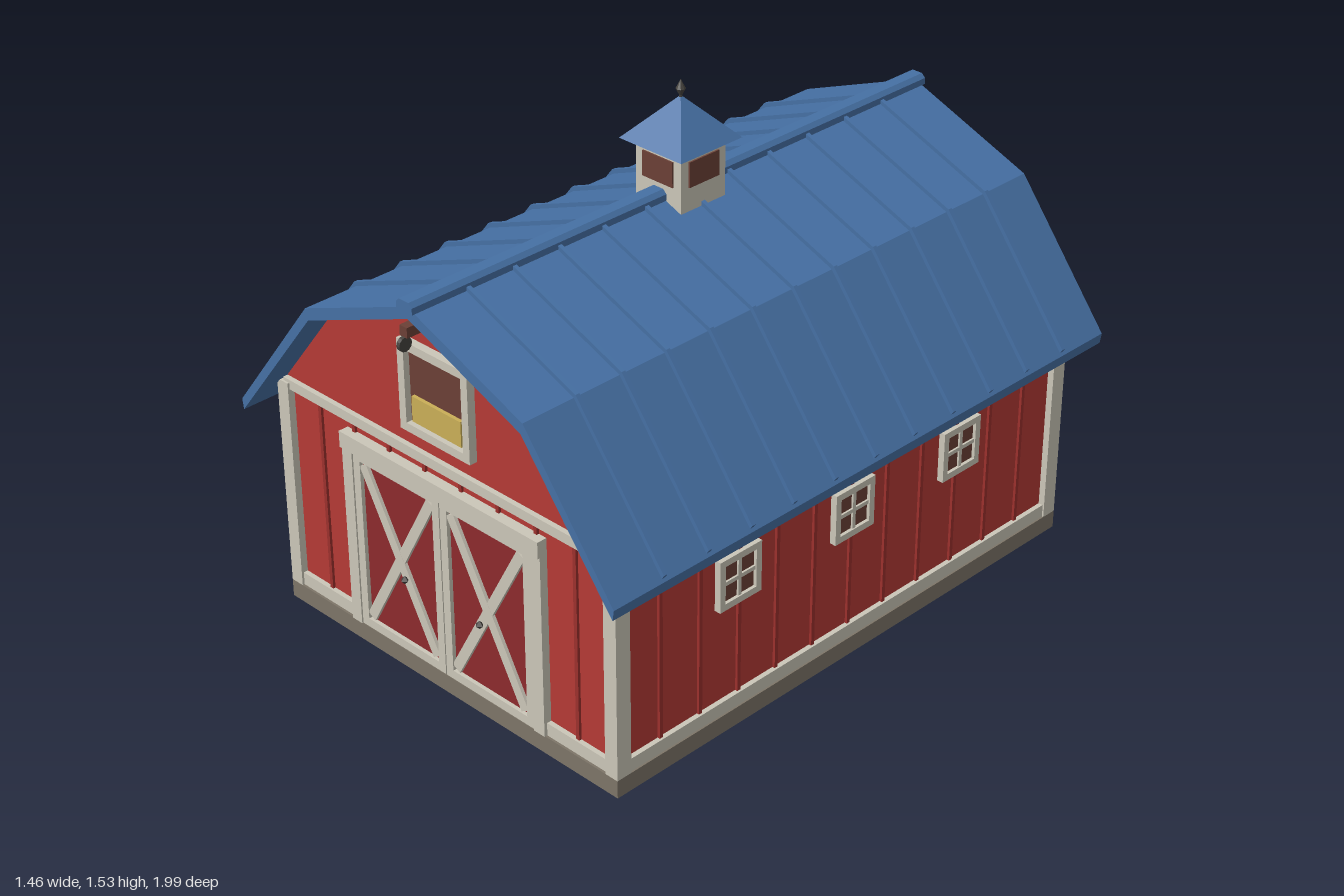
import * as THREE from 'three';

const mat = (name, color) => {
  const m = new THREE.MeshStandardMaterial({ color, flatShading: true });
  m.name = name;
  return m;
};

export function createModel() {
  const red = mat('barn red', 0xb43a35);
  const battenRed = mat('batten red', 0x9c302d);
  const darkRed = mat('door red', 0x8c2a2d);
  const cream = mat('cream trim', 0xcbc6b8);
  const blue = mat('blue metal', 0x4670a4);
  const stone = mat('stone', 0x7d7568);
  const brown = mat('dark brown', 0x6b4036);
  const hay = mat('hay', 0xc9ae57);
  const iron = mat('iron', 0x45423e);

  const root = new THREE.Group();
  root.name = 'barn';
  const barn = new THREE.Group();
  barn.name = 'building';
  barn.position.z = -0.01;
  root.add(barn);

  const add = (name, geo, material, parent = barn) => {
    const m = new THREE.Mesh(geo, material);
    m.name = name;
    parent.add(m);
    return m;
  };
  // Box given by its extents along each axis
  const box = (name, material, x0, x1, y0, y1, z0, z1, parent = barn) => {
    const m = add(name, new THREE.BoxGeometry(x1 - x0, y1 - y0, z1 - z0), material, parent);
    m.position.set((x0 + x1) / 2, (y0 + y1) / 2, (z0 + z1) / 2);
    return m;
  };
  // Profile in x,y extruded symmetrically about a z position
  const slab = (name, pts, depth, z, material) => {
    const shape = new THREE.Shape(pts.map(p => new THREE.Vector2(p[0], p[1])));
    const geo = new THREE.ExtrudeGeometry(shape, { depth, bevelEnabled: false });
    geo.translate(0, 0, z - depth / 2);
    return add(name, geo, material);
  };
  // Four-sided frame lying in the x,y plane of its parent
  const frame = (name, x0, x1, y0, y1, w, z0, z1, parent = barn) => {
    box(name, cream, x0, x0 + w, y0, y1, z0, z1, parent);
    box(name, cream, x1 - w, x1, y0, y1, z0, z1, parent);
    box(name, cream, x0 + w, x1 - w, y0, y0 + w, z0, z1, parent);
    box(name, cream, x0 + w, x1 - w, y1 - w, y1, z0, z1, parent);
  };

  // Foundation and walls
  const W = 0.64, D = 0.88;
  box('foundation', stone, -0.66, 0.66, 0, 0.055, -0.902, 0.902);
  slab('walls', [[-W, 0.05], [W, 0.05], [W, 0.73], [0.41, 1.025], [0, 1.19], [-0.41, 1.025], [-W, 0.73]], 2 * D, 0, red);

  // Corner posts, horizontal trim and battens
  for (const s of [-1, 1]) {
    for (const t of [-1, 1]) {
      const post = box('cornerPost', cream, -0.0225, 0.0225, 0.055, 0.715, -0.025, 0.025);
      post.position.x = s * 0.6375;
      post.position.z = t * 0.877;
    }
    const endZ = s * (D + 0.005);
    box('gableTrim', cream, -0.64, 0.64, 0.695, 0.725, endZ - 0.011, endZ + 0.011);
    for (const t of [-1, 1]) {
      const [a, b] = s > 0 ? [0.39, 0.62] : [0.115, 0.62];
      box('endBaseTrim', cream, t > 0 ? a : -b, t > 0 ? b : -a, 0.055, 0.095, endZ - 0.01, endZ + 0.01);
    }
    box('sideBaseTrim', cream, s * 0.645 - 0.01, s * 0.645 + 0.01, 0.055, 0.095, -0.86, 0.86);
    for (let k = -5; k <= 5; k++) {
      box('sideBatten', battenRed, s * W - 0.008, s * W + 0.008, 0.095, 0.71, k * 0.146 - 0.006, k * 0.146 + 0.006);
    }
    for (let k = -3.5; k <= 3.5; k++) {
      const x = k * 0.1425;
      const hidden = s < 0 ? Math.abs(x) < 0.12 : Math.abs(x) < 0.38;
      const low = hidden ? (s < 0 ? 0.48 : 0.66) : 0.095;
      box('endBatten', battenRed, x - 0.006, x + 0.006, low, 0.695, s * D - 0.008, s * D + 0.008);
    }
  }

  // Side windows, each built facing +z and turned outward
  for (const s of [-1, 1]) {
    for (const z of [-0.447, 0, 0.447]) {
      const win = new THREE.Group();
      win.name = 'sideWindow';
      win.position.set(s * W, 0.467, z);
      win.rotation.y = s * Math.PI / 2;
      barn.add(win);
      box('pane', brown, -0.065, 0.065, -0.065, 0.065, 0.002, 0.01, win);
      frame('windowFrame', -0.078, 0.078, -0.078, 0.078, 0.02, 0, 0.02, win);
      box('mullion', cream, -0.006, 0.006, -0.06, 0.06, 0, 0.016, win);
      box('muntin', cream, -0.06, 0.06, -0.006, 0.006, 0, 0.016, win);
    }
  }

  // Front doorway surround
  box('doorHeader', cream, -0.39, 0.39, 0.615, 0.665, D, 0.912);
  for (const s of [-1, 1]) box('doorJamb', cream, s * 0.37 - 0.02, s * 0.37 + 0.02, 0.055, 0.62, D, 0.905);

  // Double doors with crossed braces
  for (const s of [-1, 1]) {
    const door = new THREE.Group();
    door.name = s > 0 ? 'leftDoor' : 'rightDoor';
    door.position.set(s * 0.175, 0.34, D);
    barn.add(door);
    box('doorPanel', darkRed, -0.172, 0.172, -0.28, 0.275, 0, 0.01, door);
    frame('doorFrame', -0.173, 0.173, -0.283, 0.28, 0.027, 0, 0.022, door);
    const dx = 0.272, dy = 0.49;
    for (const t of [-1, 1]) {
      const brace = add('doorBrace', new THREE.BoxGeometry(0.032, Math.hypot(dx, dy), 0.012), cream, door);
      brace.position.z = t > 0 ? 0.014 : 0.0135;
      brace.rotation.z = t * Math.atan2(dx, dy);
    }
    const knob = add('doorHandle', new THREE.OctahedronGeometry(0.013), iron, door);
    knob.position.set(-s * 0.025, -0.045, 0.027);
  }

  // Back door
  box('backDoor', darkRed, -0.1, 0.1, 0.055, 0.465, -D - 0.01, -D);
  for (const s of [-1, 1]) box('backDoorJamb', cream, s * 0.106 - 0.01, s * 0.106 + 0.01, 0.055, 0.48, -D - 0.02, -D);
  box('backDoorHead', cream, -0.096, 0.096, 0.46, 0.48, -D - 0.02, -D);

  // Hayloft opening
  box('loftOpening', brown, -0.12, 0.12, 0.79, 1.04, D - 0.002, D + 0.006);
  frame('loftFrame', -0.135, 0.135, 0.78, 1.05, 0.025, D, 0.905);
  box('hayBale', hay, -0.095, 0.095, 0.812, 0.888, D, 0.897);

  // Hoist beam with pulley and hook
  box('hoistBeam', brown, -0.014, 0.014, 1.137, 1.167, D, 0.99);
  const pulley = add('pulley', new THREE.CylinderGeometry(0.021, 0.021, 0.012, 12), iron);
  pulley.rotation.z = Math.PI / 2;
  pulley.position.set(0, 1.117, 0.989);

  // Gambrel roof: profile mirrored from one half
  const mirrored = (top, under) => [
    ...[...top].reverse(), ...top.slice(1).map(p => [-p[0], p[1]]),
    ...[...under].reverse().map(p => [-p[0], p[1]]), ...under.slice(1)
  ];
  const top = [[0, 1.217], [0.417, 1.053], [0.729, 0.652]];
  const under = [[0, 1.182], [0.408, 1.02], [0.724, 0.62]];
  slab('roof', mirrored(top, under), 1.948, 0, blue);
  const ribTop = [[0, 1.23], [0.424, 1.064], [0.73, 0.672]];
  const ribUnder = [[0, 1.205], [0.414, 1.046], [0.72, 0.656]];
  for (let k = -5; k <= 5; k++) slab('roofRib', mirrored(ribTop, ribUnder), 0.013, k * 0.159, blue);
  slab('ridgeCap', [[-0.03, 1.207], [0.03, 1.207], [0.03, 1.226], [0.018, 1.238], [-0.018, 1.238], [-0.03, 1.226]], 1.968, 0, blue);

  // Cupola with louvred openings on all four sides
  const cupola = new THREE.Group();
  cupola.name = 'cupola';
  barn.add(cupola);
  box('cupolaBody', cream, -0.085, 0.085, 1.17, 1.357, -0.085, 0.085, cupola);
  for (let i = 0; i < 4; i++) {
    const side = new THREE.Group();
    side.name = 'cupolaOpening';
    side.rotation.y = i * Math.PI / 2;
    cupola.add(side);
    box('louvre', brown, -0.057, 0.057, 1.255, 1.33, 0.083, 0.09, side);
  }
  const cap = add('cupolaRoof', new THREE.ConeGeometry(0.117 * Math.SQRT2, 0.125, 4), blue, cupola);
  cap.rotation.y = Math.PI / 4;
  cap.position.y = 1.418;
  const finial = add('finial', new THREE.LatheGeometry(
    [[0, 1.465], [0.005, 1.465], [0.005, 1.482], [0.014, 1.5], [0, 1.527]].map(p => new THREE.Vector2(...p)), 8), iron, cupola);
  finial.position.y = 0;

  return root;
}
